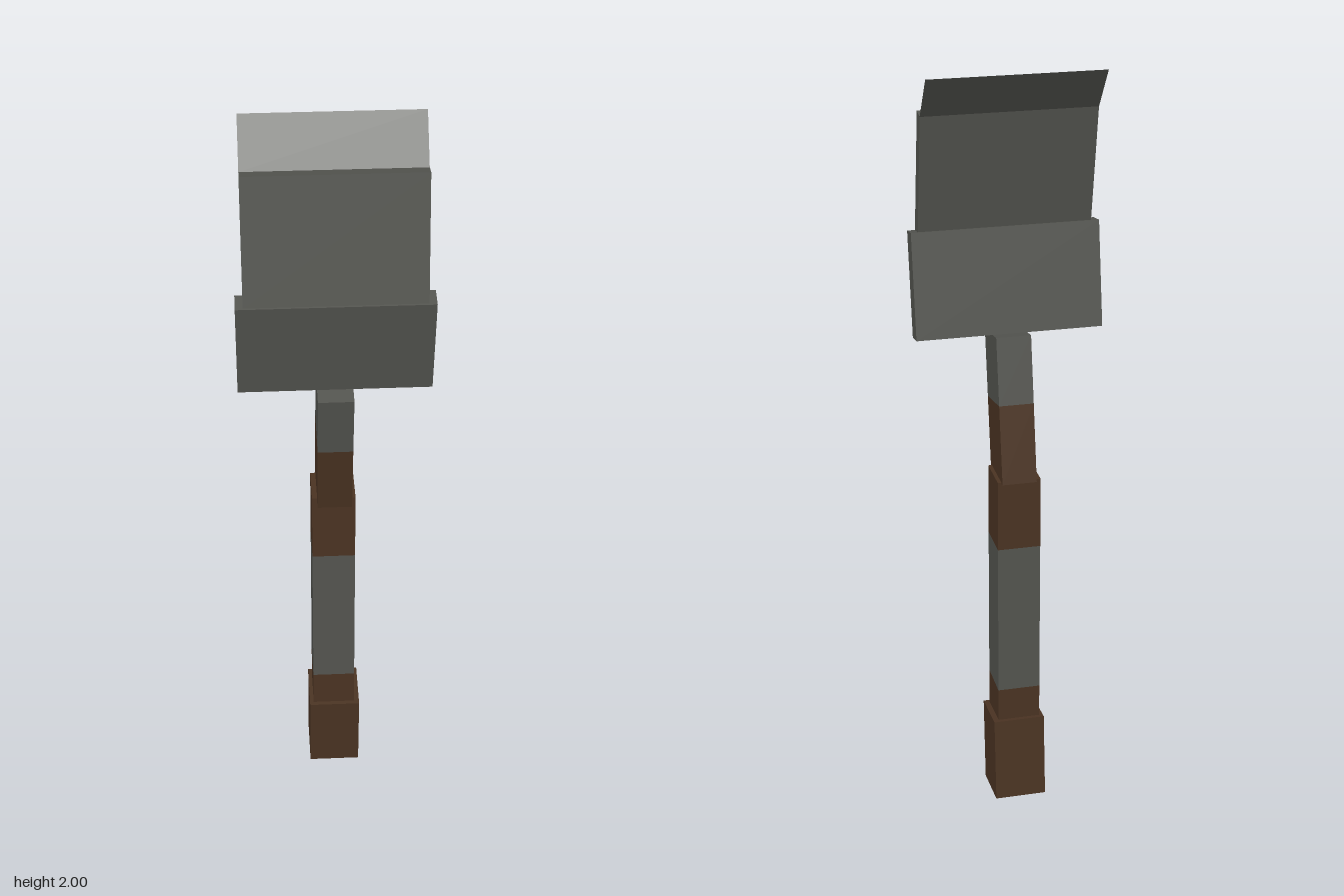
import * as THREE from 'three';

export function createModel() {
  const model = new THREE.Group();
  const wood = new THREE.MeshStandardMaterial({ name: 'brownWood', color: 0x4a3322 });
  const metal = new THREE.MeshStandardMaterial({ name: 'greyMetal', color: 0x53544f });
  const flapMetal = new THREE.MeshStandardMaterial({ name: 'flapMetal', color: 0x53544f, side: THREE.DoubleSide });

  // A bar leaning forward by tilt degrees, stacked from bands of [from, to, material] (fractions of its height)
  function bar(name, y, z, [w, h, d], tilt, bands) {
    const group = new THREE.Group();
    group.name = name;
    for (const [from, to, material] of bands) {
      const mesh = new THREE.Mesh(new THREE.BoxGeometry(w, h * (to - from), d), material);
      mesh.name = name + (material === wood ? 'Wood' : 'Metal');
      mesh.position.y = h * ((from + to) / 2 - 0.5);
      group.add(mesh);
    }
    group.position.set(0, y, z);
    group.rotation.x = THREE.MathUtils.degToRad(tilt);
    model.add(group);
    return group;
  }

  // Handle: pommel, banded grip and leaning neck
  bar('pommel', 0.122, -0.0365, [0.137, 0.232, 0.136], 5, [[0, 1, wood]]);
  const grip = bar('grip', 0.591, -0.026, [0.113, 0.718, 0.112], 0,
    [[0, 0.143, wood], [0.143, 0.731, metal], [0.731, 1, wood]]);
  grip.position.x = -0.002;
  bar('neck', 1.125, 0.005, [0.09, 0.383, 0.134], 10.2, [[0, 0.54, wood], [0.54, 1, metal]]);

  // Blade: wide lower plate and thinner upper plate bent back
  bar('lowerBlade', 1.449, 0.06, [0.482, 0.272, 0.052], 10.2, [[0, 1, metal]]);
  bar('upperBlade', 1.735, 0.058, [0.444, 0.324, 0.037], -10.2, [[0, 1, metal]]);

  // Thin tip sheet sloping back from the rear top edge of the upper plate
  const rise = 0.109, run = 0.08;
  const tip = new THREE.Mesh(new THREE.PlaneGeometry(0.444, Math.hypot(rise, run)), flapMetal);
  tip.name = 'bladeTip';
  tip.position.set(0, 1.891 + rise / 2, 0.011 - run / 2);
  tip.rotation.x = -Math.atan2(run, rise);
  model.add(tip);

  return model;
}
